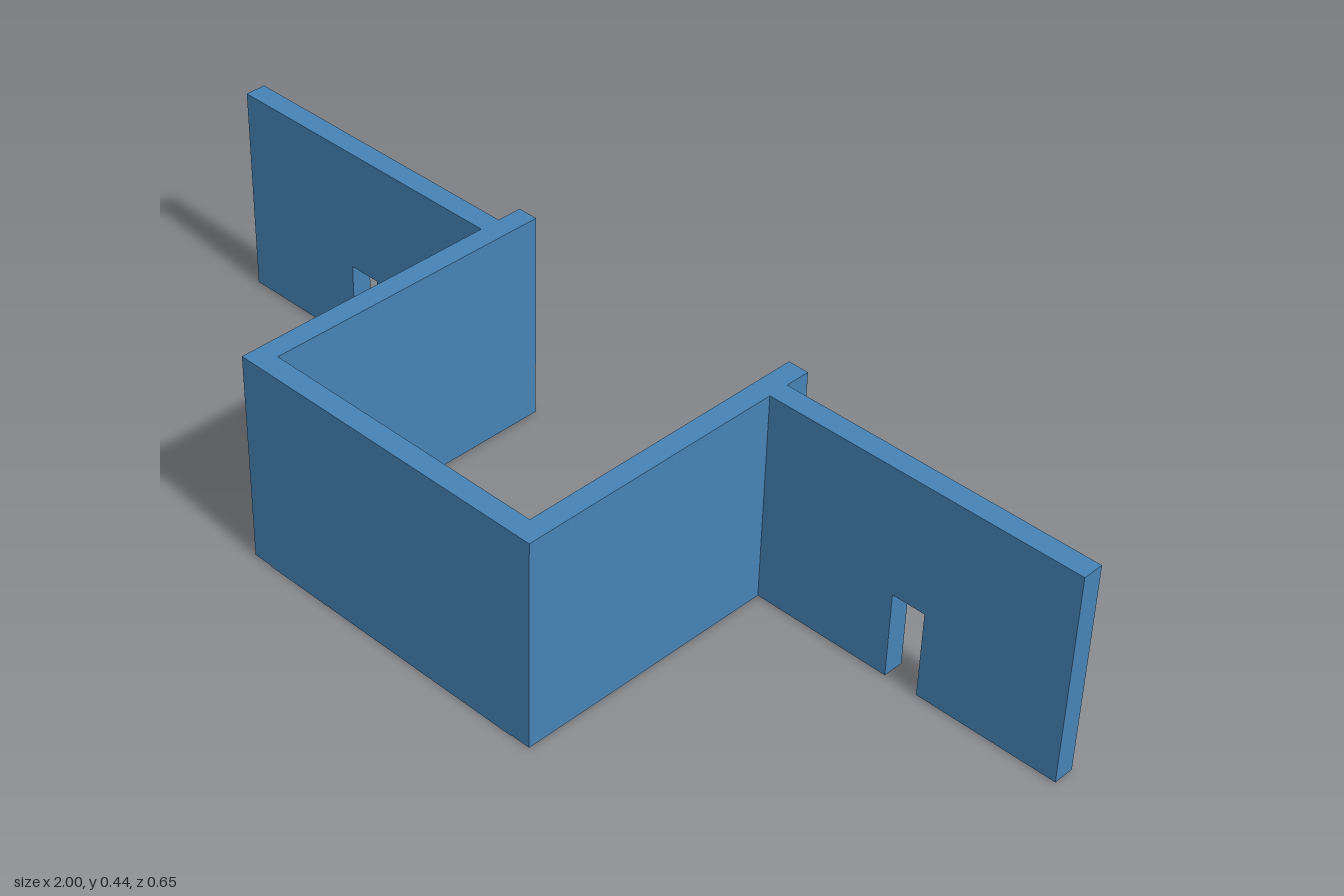
import * as THREE from 'three';

const TOP = 0.436, BASE = 0.002;

export function createModel() {
  const group = new THREE.Group();
  const material = new THREE.MeshStandardMaterial({ color: 0x4682b4 });

  const add = (name, geometry) => {
    const mesh = new THREE.Mesh(geometry, material);
    mesh.name = name;
    group.add(mesh);
  };

  // Upright slab given by its extents
  const slab = (name, x0, x1, y0, z0, z1) => {
    const g = new THREE.BoxGeometry(x1 - x0, TOP - y0, z1 - z0);
    g.translate((x0 + x1) / 2, (y0 + TOP) / 2, (z0 + z1) / 2);
    add(name, g);
  };

  // Wing wall with a doorway notch open at the bottom
  const wing = (name, x0, x1, n0, n1) => {
    const outline = [
      [x0, BASE], [n0, BASE], [n0, 0.18], [n1, 0.18],
      [n1, BASE], [x1, BASE], [x1, TOP], [x0, TOP],
    ].map(([x, y]) => new THREE.Vector2(x, y));
    const g = new THREE.ExtrudeGeometry(new THREE.Shape(outline), { depth: 0.043, bevelEnabled: false });
    g.translate(0, 0, -0.274);
    add(name, g);
  };

  // Projecting bay: front panel between two side walls
  slab('frontWall', -0.308, 0.302, 0, 0.283, 0.326);
  slab('leftSideWall', 0.302, 0.345, BASE, -0.326, 0.326);
  slab('rightSideWall', -0.351, -0.308, BASE, -0.326, 0.326);

  // Wings either side of the bay
  wing('leftWing', 0.345, 1, 0.636, 0.705);
  wing('rightWing', -1, -0.351, -0.71, -0.641);

  return group;
}
